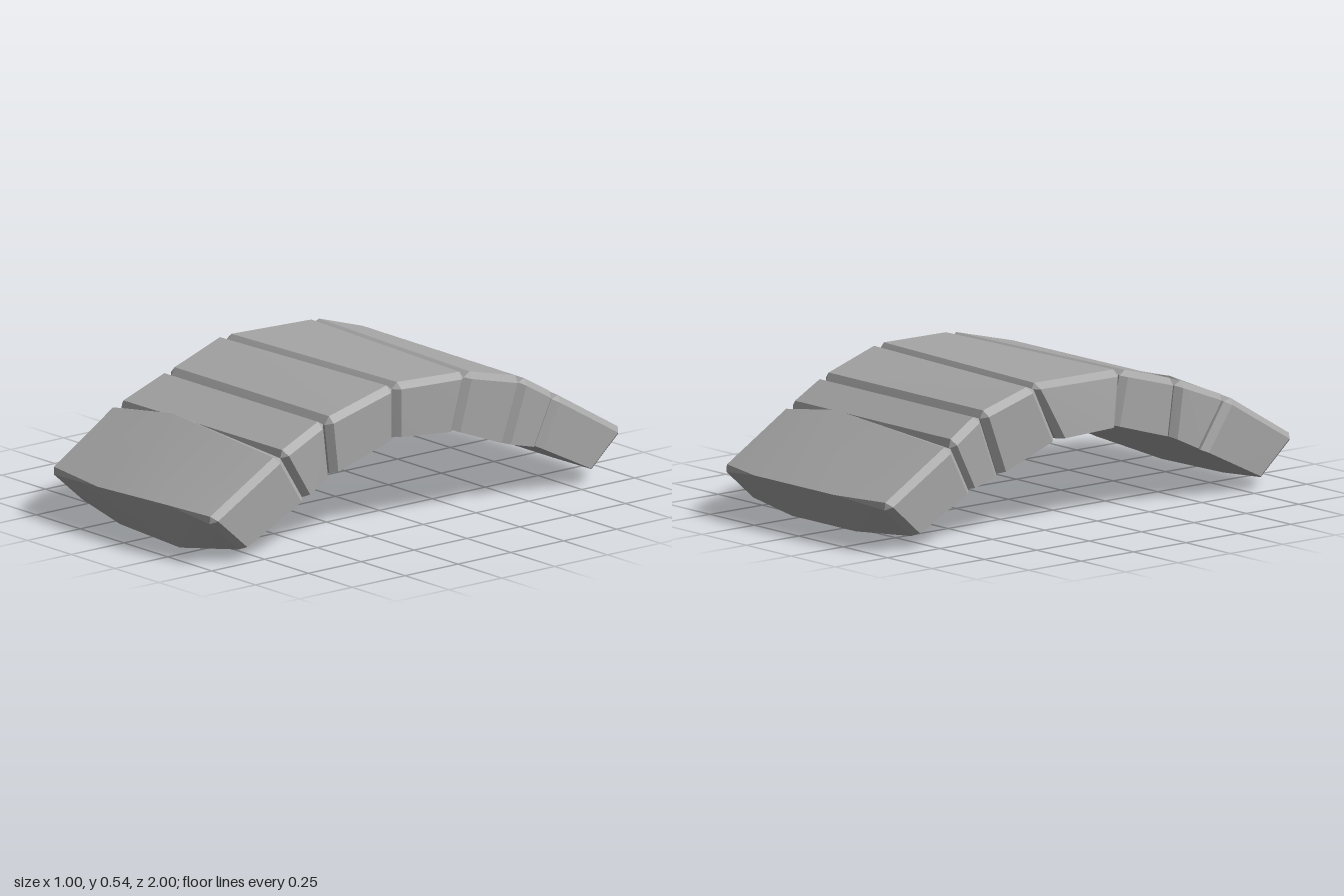
import * as THREE from 'three';
import { ConvexGeometry } from 'three/addons/geometries/ConvexGeometry.js';
import { toCreasedNormals } from 'three/addons/utils/BufferGeometryUtils.js';

const V = (x, y, z) => new THREE.Vector3(x, y, z);

// Joints from front to back: top z at -x, top z at +x, top y, bottom z, bottom y
const JOINTS = [
  [0.985, 0.985, 0.175, 0.83, 0.04],
  [0.655, 0.645, 0.37, 0.53, 0.185],
  [0.425, 0.42, 0.46, 0.395, 0.25],
  [0.145, 0.10, 0.54, 0.10, 0.338],
  [-0.265, -0.22, 0.535, -0.16, 0.322],
  [-0.51, -0.505, 0.46, -0.42, 0.222],
  [-0.665, -0.66, 0.37, -0.57, 0.185],
  [-0.985, -0.985, 0.178, -0.84, 0.05],
];

// Blocks: -x side at front and back joint, +x side at front and back joint,
// plus extra hull points that give the end blocks their crowned edges
const BLOCKS = [
  { name: 'frontEndStone', x: [-0.465, -0.48, 0.472, 0.472], extra: [
    [-0.15, 0.395, 0.645], [-0.15, 0.18, 1], [0.25, 0.195, 1],
    [-0.18, 0.01, 0.87], [0.18, 0, 0.885]] },
  { name: 'frontLowerStone', x: [-0.472, -0.46, 0.472, 0.455], extra: [] },
  { name: 'frontUpperStone', x: [-0.455, -0.485, 0.465, 0.465], extra: [] },
  { name: 'keystone', x: [-0.475, -0.45, 0.465, 0.495], bottomLeft: -0.03, extra: [] },
  { name: 'backUpperStone', x: [-0.465, -0.455, 0.495, 0.465], extra: [] },
  { name: 'backLowerStone', x: [-0.45, -0.46, 0.465, 0.472], extra: [] },
  { name: 'backEndStone', x: [-0.47, -0.468, 0.472, 0.47], extra: [
    [0.2, 0.39, -0.655], [-0.2, 0.185, -1], [0.25, 0.185, -1],
    [-0.18, 0.03, -0.88], [0.18, 0.03, -0.88]] },
];

// Six-sided stone with chamfered top and upright edges and a plain underside
function stoneGeometry(front, back, block) {
  const corner = (side, end, top) => {
    const j = end ? back : front;
    let x = block.x[side * 2 + end];
    if (!top && !side) x += block.bottomLeft || 0;
    return V(x, top ? j[2] : j[4], top ? j[side] : j[3]);
  };
  const points = block.extra.map((p) => V(...p));
  const bevel = 0.024;
  for (const side of [0, 1]) for (const end of [0, 1]) for (const top of [0, 1]) {
    const c = corner(side, end, top);
    const inset = (other) => other.sub(c).normalize().multiplyScalar(bevel);
    const dx = inset(corner(1 - side, end, top));
    const dz = inset(corner(side, 1 - end, top));
    const dy = inset(corner(side, end, 1 - top));
    if (top) {
      points.push(c.clone().add(dx).add(dz), c.clone().add(dx).add(dy), c.clone().add(dz).add(dy));
    } else {
      points.push(c.clone().add(dx), c.clone().add(dz));
    }
  }
  return toCreasedNormals(new ConvexGeometry(points), 0.4);
}

export function createModel() {
  const group = new THREE.Group();
  group.name = 'stoneArch';
  const stone = new THREE.MeshStandardMaterial({ color: 0xa6a6a6 });
  stone.name = 'grey stone';

  // Row of stones along the arch
  BLOCKS.forEach((block, i) => {
    const mesh = new THREE.Mesh(stoneGeometry(JOINTS[i], JOINTS[i + 1], block), stone);
    mesh.name = block.name;
    group.add(mesh);
  });
  return group;
}
